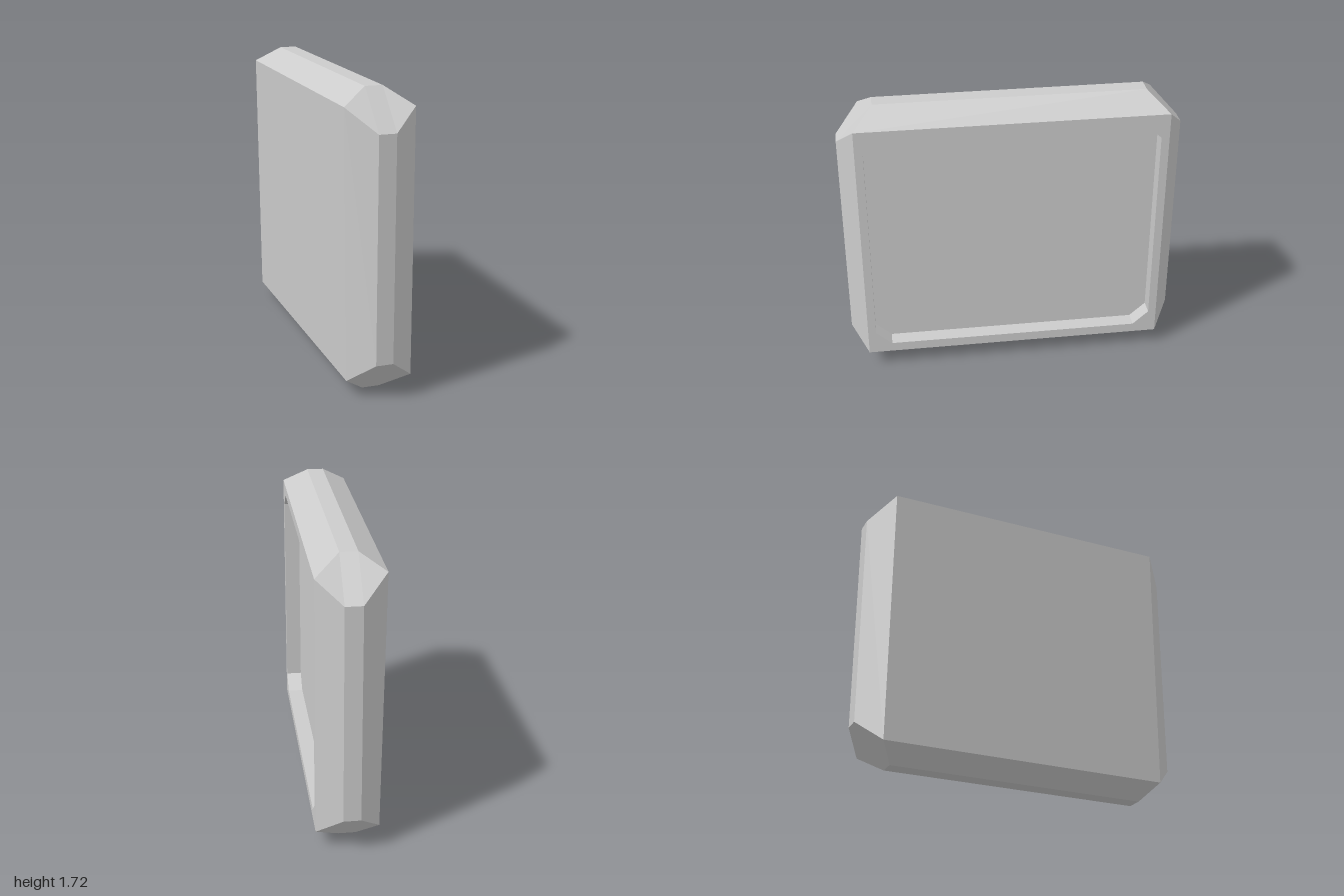
import * as THREE from 'three';

// Eight-point ring facing +x: a rectangle with cut corners; xTop lets the ring lean
function ring(x, hz, y0, y1, cutZ = 0, cutY = 0, xTop = x) {
  const z = hz - cutZ;
  const outline = [
    [hz, y0 + cutY], [hz, y1 - cutY], [z, y1], [-z, y1],
    [-hz, y1 - cutY], [-hz, y0 + cutY], [-z, y0], [z, y0],
  ];
  return outline.map(([u, y]) => {
    const t = y1 > y0 ? (y - y0) / (y1 - y0) : 0;
    return new THREE.Vector3(x + (xTop - x) * t, y, -u);
  });
}

// Skin consecutive rings with flat faces, skipping collapsed triangles
function loft(rings) {
  const pos = [];
  const tri = (a, b, c) => {
    if (a.distanceTo(b) < 1e-6 || b.distanceTo(c) < 1e-6 || c.distanceTo(a) < 1e-6) return;
    for (const p of [a, b, c]) pos.push(p.x, p.y, p.z);
  };
  for (let r = 0; r < rings.length - 1; r++) {
    const a = rings[r], b = rings[r + 1];
    for (let i = 0; i < 8; i++) {
      const j = (i + 1) % 8;
      tri(a[i], a[j], b[j]);
      tri(a[i], b[j], b[i]);
    }
  }
  const geometry = new THREE.BufferGeometry();
  geometry.setAttribute('position', new THREE.Float32BufferAttribute(pos, 3));
  geometry.computeVertexNormals();
  return geometry;
}

export function createModel() {
  const group = new THREE.Group();
  group.name = 'bevelledPanel';
  const material = new THREE.MeshStandardMaterial({ color: 0xcccccc, flatShading: true });
  const add = (name, rings) => {
    const mesh = new THREE.Mesh(loft(rings), material);
    mesh.name = name;
    group.add(mesh);
  };

  const rim = ring(0.194, 0.853, 0.157, 1.558, 0.095, 0.087);
  const floor = ring(0.1, 0.853, 0.157, 1.558, 0.095, 0.087);

  // Casing: leaning back plate, bevels, cut-corner waist, front frame
  add('casing', [
    ring(-0.1845, 0, 0.86, 0.86),
    ring(-0.174, 0.867, 0.093, 1.627, 0, 0, -0.195),
    ring(-0.05, 1, 0, 1.717, 0.215, 0.218),
    ring(0.05, 1, 0, 1.717, 0.215, 0.218),
    ring(0.194, 0.901, 0.099, 1.618),
    rim,
  ]);

  // Recess: walls sunk into the +x face, closed by a flat floor
  add('recessWalls', [rim, floor]);
  add('recessFloor', [floor, ring(0.1, 0, 0.8575, 0.8575)]);
  return group;
}
